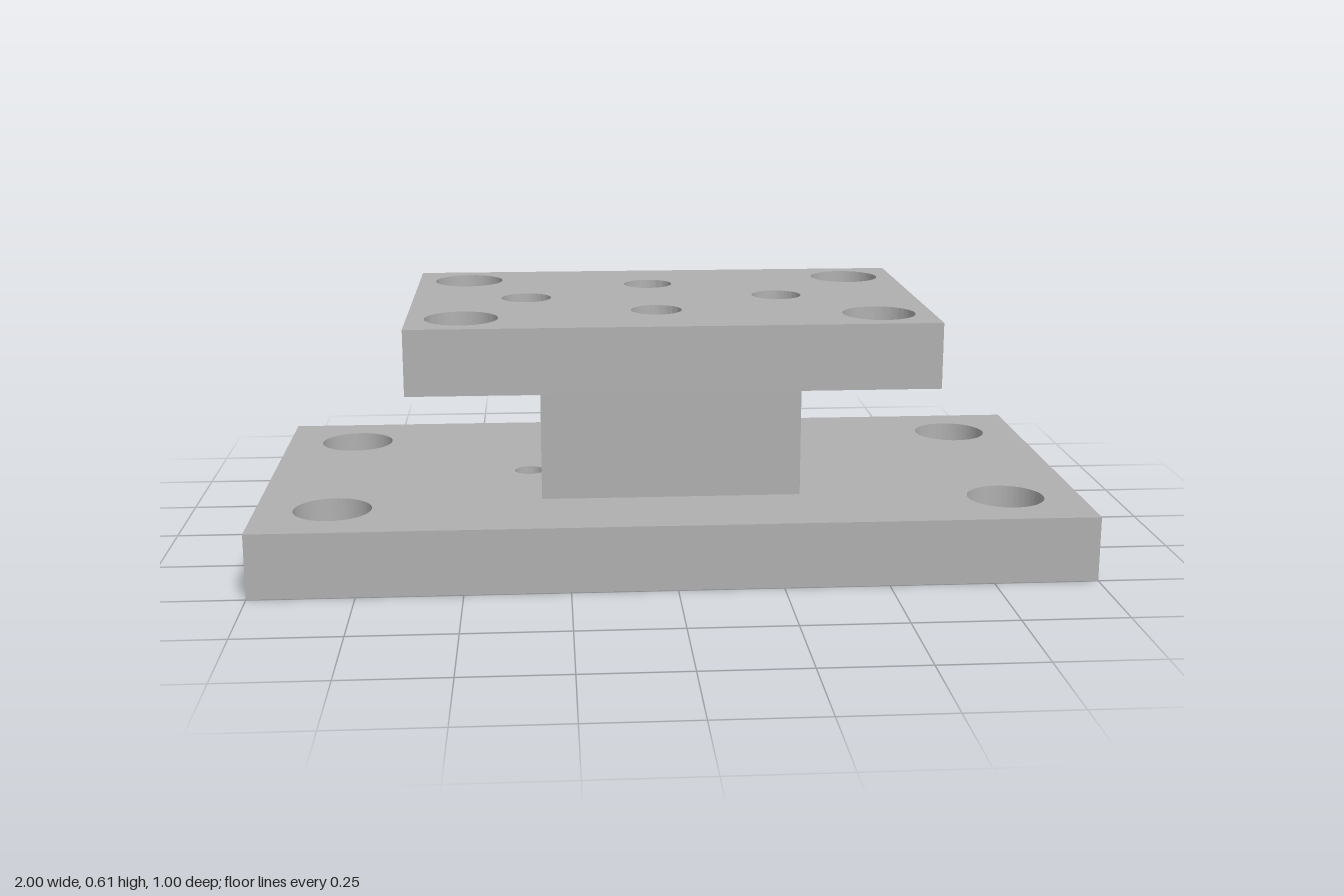
import * as THREE from 'three';
import { toCreasedNormals } from 'three/addons/utils/BufferGeometryUtils.js';

const steel = new THREE.MeshStandardMaterial({ color: 0xb0b0b0 });
steel.name = 'machined grey';

const BOLT_R = 0.037, BORE_R = 0.062, SHIFT = -0.0316;
const BOLT_X = 0.3158, BOLT_Z = 0.184;

// Four holes, one per corner
const corners = (x, z, r) => [[x, z, r], [x, -z, r], [-x, z, r], [-x, -z, r]];

// Four bolt holes in a diamond, a little off centre
const bolts = (r) => [
  [SHIFT + BOLT_X, 0, r], [SHIFT - BOLT_X, 0, r],
  [SHIFT, BOLT_Z, r], [SHIFT, -BOLT_Z, r],
];

function rectangle(a, b) {
  return new THREE.Shape().moveTo(-a, -b).lineTo(a, -b).lineTo(a, b).lineTo(-a, b).closePath();
}

// Extrude a plan outline upwards from y0 to y1, with round through-holes
function slab(name, shape, y0, y1, holes) {
  for (const [x, z, r] of holes) {
    shape.holes.push(new THREE.Path().absarc(x, -z, r, 0, Math.PI * 2, true));
  }
  const geo = new THREE.ExtrudeGeometry(shape, { depth: y1 - y0, bevelEnabled: false, curveSegments: 48 });
  geo.rotateX(-Math.PI / 2).translate(0, y0, 0);
  const mesh = new THREE.Mesh(toCreasedNormals(geo, Math.PI / 6), steel);
  mesh.name = name;
  return mesh;
}

// Block outline, grooved at both ends where the bolt holes break through
function blockOutline(a, b) {
  const th = Math.acos(-SHIFT / BOLT_R);
  const h = BOLT_R * Math.sin(th);
  return new THREE.Shape()
    .moveTo(-a, -b).lineTo(a, -b).lineTo(a, -h)
    .absarc(SHIFT + a, 0, BOLT_R, -th, th, true)
    .lineTo(a, b).lineTo(-a, b).lineTo(-a, h)
    .absarc(SHIFT - a, 0, BOLT_R, th, -th, true)
    .closePath();
}

export function createModel() {
  const model = new THREE.Group();
  model.name = 'mountingPedestal';

  // Base with mounting holes and bolt holes
  model.add(slab('basePlate', rectangle(1, 0.5), 0, 0.158,
    [...corners(0.8158, 0.3158, 0.0935), ...bolts(BOLT_R)]));

  // Spacer block between the plates
  model.add(slab('spacerBlock', blockOutline(BOLT_X, 0.263), 0.158, 0.45, bolts(BOLT_R).slice(2)));

  // Top plate in two layers, so the bolt holes are counterbored
  const topPlate = new THREE.Group();
  topPlate.name = 'topPlate';
  const topHoles = corners(0.5, 0.263, 0.0875);
  topPlate.add(
    slab('topPlateLower', rectangle(0.63, 0.395), 0.45, 0.536, [...topHoles, ...bolts(BOLT_R)]),
    slab('topPlateCounterbored', rectangle(0.63, 0.395), 0.536, 0.608, [...topHoles, ...bolts(BORE_R)]),
  );
  model.add(topPlate);
  return model;
}
